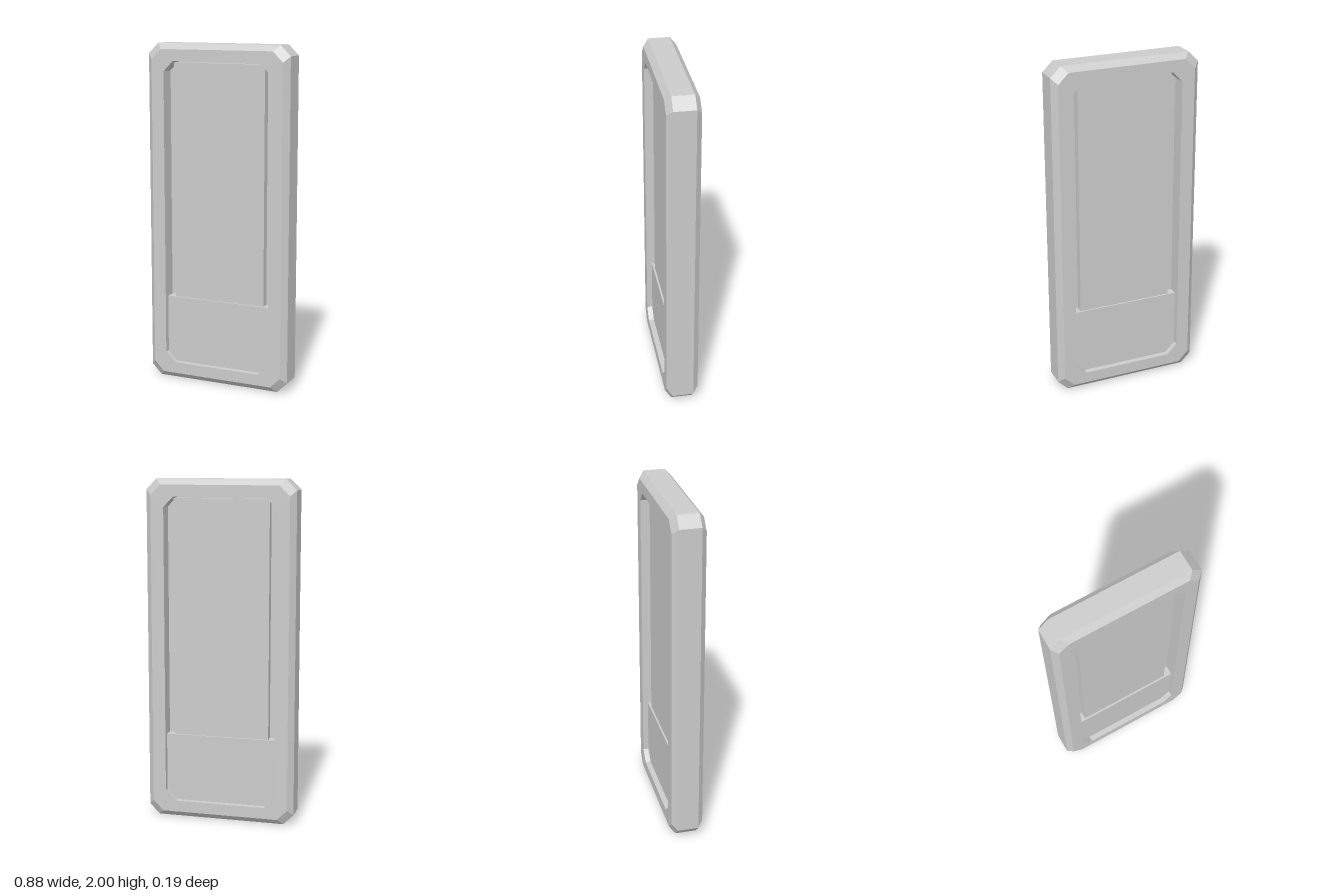
import * as THREE from 'three';

const material = new THREE.MeshStandardMaterial({ color: 0xcccccc, flatShading: true });
const CHAMFER = 0.06;

// Corner-cut rectangle at depth z, counter-clockwise seen from the front
function octagon(w, h, z, c = CHAMFER) {
  return [
    [w, -h + c], [w, h - c], [w - c, h], [-w + c, h],
    [-w, h - c], [-w, -h + c], [-w + c, -h], [w - c, -h],
  ].map(([x, y]) => new THREE.Vector3(x, y + 1, z));
}

// Flat-faced closed loft: each ring joins the next, the last joins the first
function loftLoop(rings) {
  const points = [];
  rings.forEach((ring, r) => {
    const next = rings[(r + 1) % rings.length];
    ring.forEach((a, i) => {
      const j = (i + 1) % ring.length;
      points.push(a, ring[j], next[j], a, next[j], next[i]);
    });
  });
  const geometry = new THREE.BufferGeometry().setFromPoints(points);
  geometry.computeVertexNormals();
  return geometry;
}

export function createModel() {
  const model = new THREE.Group();
  model.name = 'framedSlab';

  const add = (name, geometry, y = 0) => {
    const mesh = new THREE.Mesh(geometry, material);
    mesh.name = name;
    mesh.position.y = y;
    model.add(mesh);
  };
  // Box spanning y0 to y1, centred in depth so both faces match
  const addBox = (name, width, y0, y1, depth) =>
    add(name, new THREE.BoxGeometry(width, y1 - y0, depth), (y0 + y1) / 2);

  // Frame: bevelled outer edge, straight-walled opening
  add('frame', loftLoop([
    octagon(0.33, 0.9, -0.094),
    octagon(0.407, 0.967, -0.094),
    octagon(0.44, 1, -0.062),
    octagon(0.44, 1, 0.062),
    octagon(0.407, 0.967, 0.094),
    octagon(0.33, 0.9, 0.094),
  ]));

  // Thin web closing the gaps between the panel and the frame
  addBox('web', 0.68, 0.09, 1.91, 0.01);
  // Tall upper panel
  addBox('upperPanel', 0.566, 0.48, 1.89, 0.1);
  // Wide lower panel, slightly prouder, tucked into the frame
  addBox('lowerPanel', 0.67, 0.09, 0.5, 0.122);

  return model;
}
